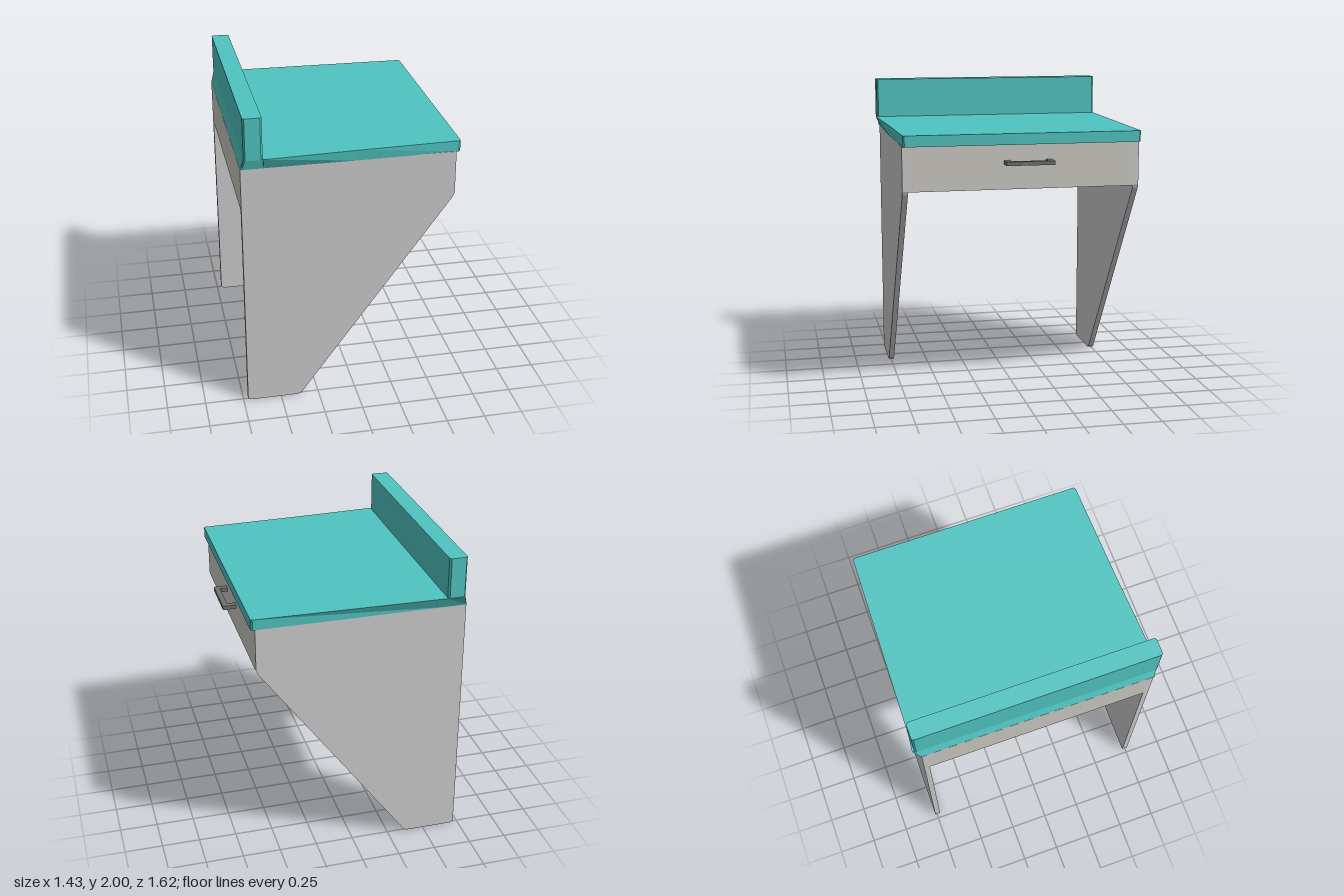
import * as THREE from 'three';

const paint = (color) => new THREE.MeshStandardMaterial({ color, flatShading: true });
const shapeOf = (pts) => new THREE.Shape(pts.map(([x, y]) => new THREE.Vector2(x, y)));

export function createModel() {
  const desk = new THREE.Group();
  desk.name = 'desk';
  const teal = paint(0x50c4c1), grey = paint(0xcccccc);
  const warm = paint(0xcccac2), dark = paint(0x707070);

  const add = (name, geometry, material) => {
    const mesh = new THREE.Mesh(geometry, material);
    mesh.name = name;
    desk.add(mesh);
    return mesh;
  };
  // Box given by its lower and upper corners
  const box = (name, [x0, y0, z0], [x1, y1, z1], material) => {
    const mesh = add(name, new THREE.BoxGeometry(x1 - x0, y1 - y0, z1 - z0), material);
    mesh.position.set((x0 + x1) / 2, (y0 + y1) / 2, (z0 + z1) / 2);
  };
  // Plan outline in [x, z], extruded upwards between two heights
  const slab = (name, outline, y0, y1, material) => {
    const g = new THREE.ExtrudeGeometry(shapeOf(outline.map(([x, z]) => [x, -z])),
      { depth: y1 - y0, bevelEnabled: false });
    g.rotateX(-Math.PI / 2).translate(0, y0, 0);
    return add(name, g, material);
  };

  // Tapered side panels with clipped feet
  const profile = [[-0.72, 0.01], [-0.70, 0], [-0.385, 0], [-0.362, 0.012],
    [0.62, 1.36], [0.63, 1.385], [0.63, 1.667], [-0.72, 1.667]];
  for (const [name, z] of [['leftSidePanel', 0.73], ['rightSidePanel', -0.762]]) {
    const g = new THREE.ExtrudeGeometry(shapeOf(profile), { depth: 0.036, bevelEnabled: false });
    add(name, g.translate(0, 0, z), grey);
  }

  // Drawer body between the panels
  box('drawer', [-0.72, 1.38, -0.727], [0.63, 1.667, 0.731], warm);

  // Worktop, wider at the back, with clipped corners
  const top = slab('worktop', [[-0.70, -0.785], [-0.69, -0.81], [-0.58, -0.798], [0.645, -0.768],
    [0.656, -0.757], [0.656, 0.752], [0.645, 0.762], [0, 0.78], [-0.58, 0.805],
    [-0.58, 0.792], [-0.69, 0.792], [-0.70, 0.78]], 1.665, 1.736, teal);
  // Its lower rear edge slopes out and its rear corners draw in
  const p = top.geometry.attributes.position;
  for (let i = 0; i < p.count; i++) {
    if (p.getY(i) > 1.7) continue;
    if (p.getX(i) < -0.6) p.setX(i, p.getX(i) - 0.02);
    p.setZ(i, THREE.MathUtils.clamp(p.getZ(i), -0.766, 0.772));
  }
  top.geometry.computeVertexNormals();

  // Upright board along the back
  slab('backBoard', [[-0.70, -0.785], [-0.69, -0.797], [-0.595, -0.797], [-0.583, -0.785],
    [-0.583, 0.785], [-0.595, 0.795], [-0.69, 0.795], [-0.70, 0.785]], 1.73, 2, teal);

  // Bracket-shaped drawer handle
  slab('drawerHandle', [[0.625, -0.19], [0.715, -0.19], [0.715, 0.122], [0.625, 0.122],
    [0.625, 0.082], [0.68, 0.082], [0.68, -0.15], [0.625, -0.15]], 1.54, 1.565, dark);

  return desk;
}
